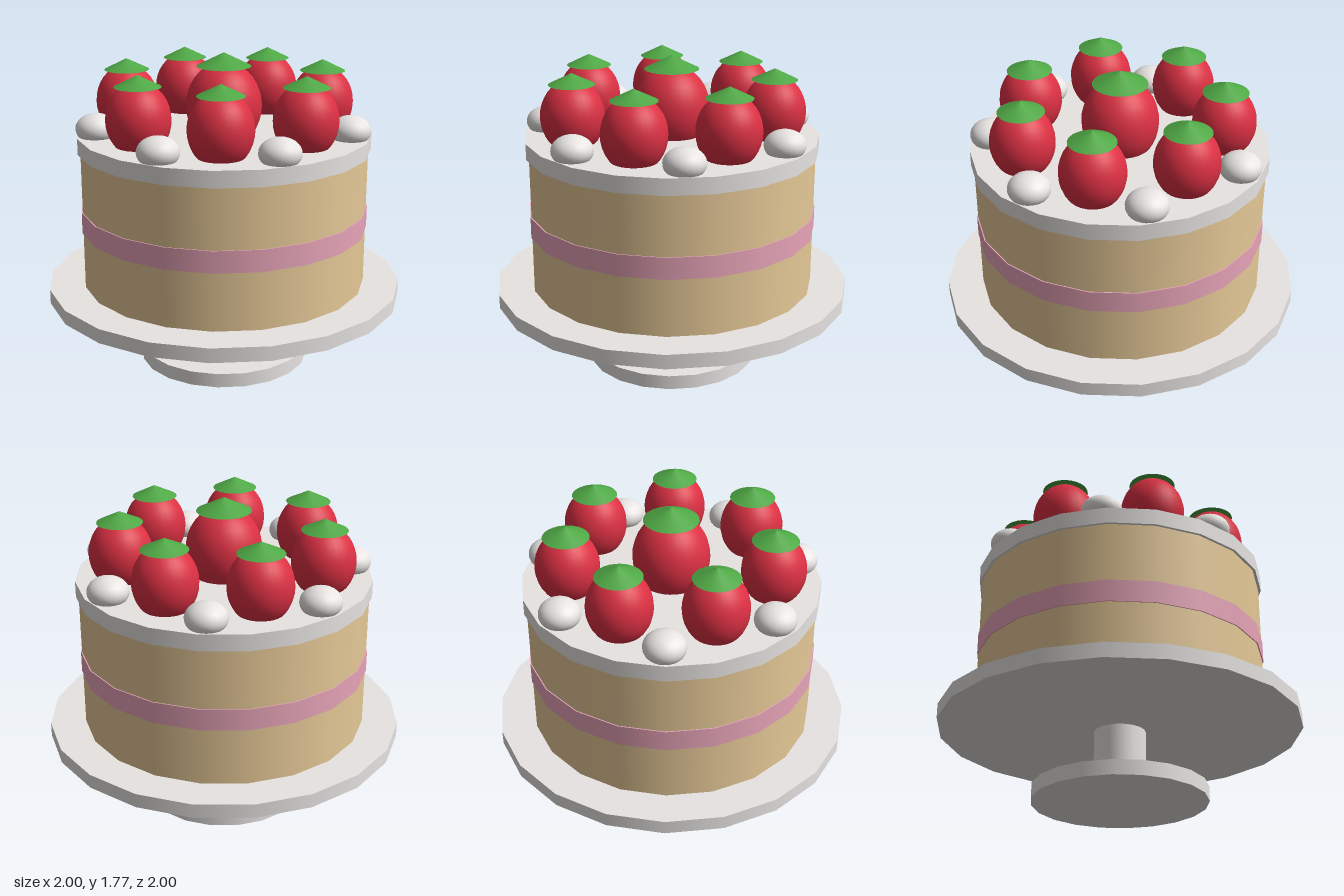
import * as THREE from 'three';

const material = (name, color) => {
  const m = new THREE.MeshStandardMaterial({ color });
  m.name = name;
  return m;
};

export function createModel() {
  const white = material('cream white', 0xebe8e6);
  const sponge = material('sponge tan', 0xe6c997);
  const pink = material('jam pink', 0xe8a5b9);
  const red = material('berry red', 0xdc3043);
  const green = material('leaf green', 0x4fa845);

  const model = new THREE.Group();
  model.name = 'cakeOnStand';

  const add = (parent, name, geometry, mat, x = 0, y = 0, z = 0) => {
    const mesh = new THREE.Mesh(geometry, mat);
    mesh.name = name;
    mesh.position.set(x, y, z);
    parent.add(mesh);
    return mesh;
  };

  // Twenty-sided disc between two heights
  const disc = (name, radius, bottom, top, mat) =>
    add(model, name, new THREE.CylinderGeometry(radius, radius, top - bottom, 20), mat, 0, (bottom + top) / 2);

  // Stand
  disc('standBase', 0.48, 0, 0.08, white);
  disc('standStem', 0.143, 0.08, 0.4, white);
  disc('standPlate', 1, 0.4, 0.48, white);

  // Cake layers
  disc('lowerSponge', 0.8, 0.48, 0.8, sponge);
  disc('jamBand', 0.806, 0.8, 0.92, pink);
  disc('upperSponge', 0.8, 0.92, 1.25, sponge);
  disc('frosting', 0.815, 1.25, 1.34, white);

  // Berry: stretched sphere with a flat cone of leaves
  const berry = (name, x, z, radius, leafRadius, leafBottom, leafTop) => {
    const group = new THREE.Group();
    group.name = name;
    group.position.set(x, 0, z);
    add(group, 'berryBody', new THREE.SphereGeometry(radius, 28, 18), red, 0, 1.48, 0).scale.y = 1.15;
    const leaf = new THREE.ConeGeometry(leafRadius, leafTop - leafBottom, 28);
    add(group, 'berryLeaves', leaf, green, 0, (leafBottom + leafTop) / 2, 0);
    model.add(group);
  };

  // One large berry in the middle, a ring of berries and cream dollops around it
  berry('centreBerry', 0, 0, 0.21, 0.15, 1.7, 1.775);
  const count = 7;
  for (let i = 0; i < count; i++) {
    const a = (i / count) * Math.PI * 2;
    berry('ringBerry', Math.cos(a) * 0.56, Math.sin(a) * 0.56, 0.174, 0.125, 1.655, 1.717);

    const b = a + 0.46;
    const dollop = add(model, 'creamDollop', new THREE.SphereGeometry(0.112, 24, 16), white,
      Math.cos(b) * 0.706, 1.383, Math.sin(b) * 0.706);
    dollop.scale.y = 0.74;
  }

  return model;
}
